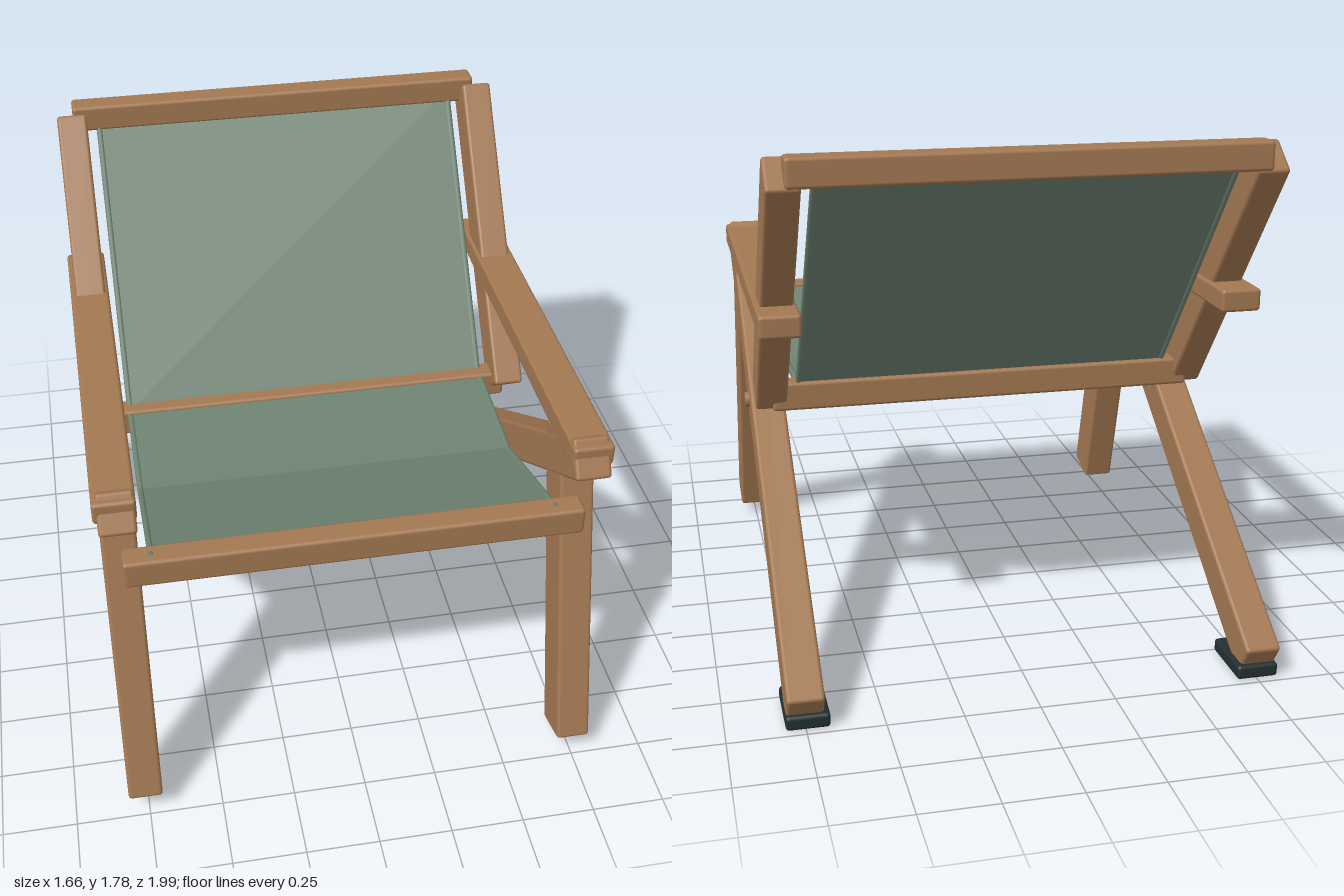
import * as THREE from 'three';
import { RoundedBoxGeometry } from 'three/addons/geometries/RoundedBoxGeometry.js';

export function createModel() {
  const material = (name, color) => {
    const m = new THREE.MeshStandardMaterial({ color });
    m.name = name;
    return m;
  };
  const wood = material('wood', 0xa37852);
  const canvas = material('green canvas', 0x6e8372);
  const rubber = material('dark rubber', 0x22302f);

  const model = new THREE.Group();
  model.name = 'loungeChair';
  // the bolts all point one way, so the frame sits a touch off centre
  const frame = new THREE.Group();
  frame.name = 'chairFrame';
  frame.position.x = -0.005;
  model.add(frame);

  const add = (name, geometry, mat, x, y, z) => {
    const mesh = new THREE.Mesh(geometry, mat);
    mesh.name = name;
    mesh.position.set(x, y, z);
    frame.add(mesh);
    return mesh;
  };

  const block = (name, w, h, d, mat, x, y, z) =>
    add(name, new RoundedBoxGeometry(w, h, d, 2, Math.min(0.012, h * 0.3)), mat, x, y, z);

  // straight member between two [z, y] points in the side plane
  const beam = (name, x, width, height, [z1, y1], [z2, y2]) => {
    const length = Math.hypot(z2 - z1, y2 - y1);
    const mesh = block(name, width, height, length, wood, x, (y1 + y2) / 2, (z1 + z2) / 2);
    mesh.rotation.x = -Math.atan2(y2 - y1, z2 - z1);
    return mesh;
  };

  // side frames
  for (const [side, s] of [['left', 1], ['right', -1]]) {
    beam(side + 'FrontLeg', s * 0.755, 0.116, 0.157, [0.922, 0.06], [0.6, 1.18]);
    beam(side + 'RearLeg', s * 0.755, 0.12, 0.137, [0.822, 1.213], [-0.962, 0.056]);
    beam(side + 'BackPost', s * 0.757, 0.107, 0.14, [-0.813, 1.724], [-0.107, 0.83]);
    block(side + 'Armrest', 0.137, 0.077, 1.47, wood, s * 0.76, 1.213, 0.085);
    block(side + 'FootPad', 0.141, 0.048, 0.22, rubber, s * 0.748, 0.024, -0.865);

    // bolt head on the outward +x face of each rear leg
    const bolt = add(side + 'Bolt', new THREE.CylinderGeometry(0.027, 0.027, 0.05, 20), wood,
      s * 0.755 + 0.05, 0.745, 0.1);
    bolt.rotation.z = Math.PI / 2;
  }

  // cross rails
  block('topRail', 1.506, 0.095, 0.085, wood, 0, 1.728, -0.83);
  block('lowerBackRail', 1.506, 0.1, 0.08, wood, 0, 0.835, -0.147);
  block('frontRail', 1.506, 0.1, 0.085, wood, 0, 0.96, 0.795);

  // canvas panels: thin strips along [z, y] paths with a rolled hem on both sides
  const panel = (name, path) => {
    for (let i = 0; i < path.length - 1; i++) {
      const [z1, y1] = path[i], [z2, y2] = path[i + 1];
      const length = Math.hypot(z2 - z1, y2 - y1);
      const angle = Math.atan2(y2 - y1, z2 - z1);
      const y = (y1 + y2) / 2, z = (z1 + z2) / 2;
      add(name + 'Canvas', new THREE.BoxGeometry(1.33, 0.01, length), canvas, 0, y, z).rotation.x = -angle;
      for (const s of [1, -1]) {
        const hem = add(name + 'Hem', new THREE.CylinderGeometry(0.011, 0.011, length + 0.006, 10), canvas,
          s * 0.66, y, z);
        hem.rotation.x = Math.PI / 2 - angle;
      }
    }
  };
  panel('seat', [[0.8, 1.005], [0.275, 0.833], [-0.15, 0.872]]);
  panel('back', [[-0.825, 1.72], [-0.145, 0.86]]);

  return model;
}
